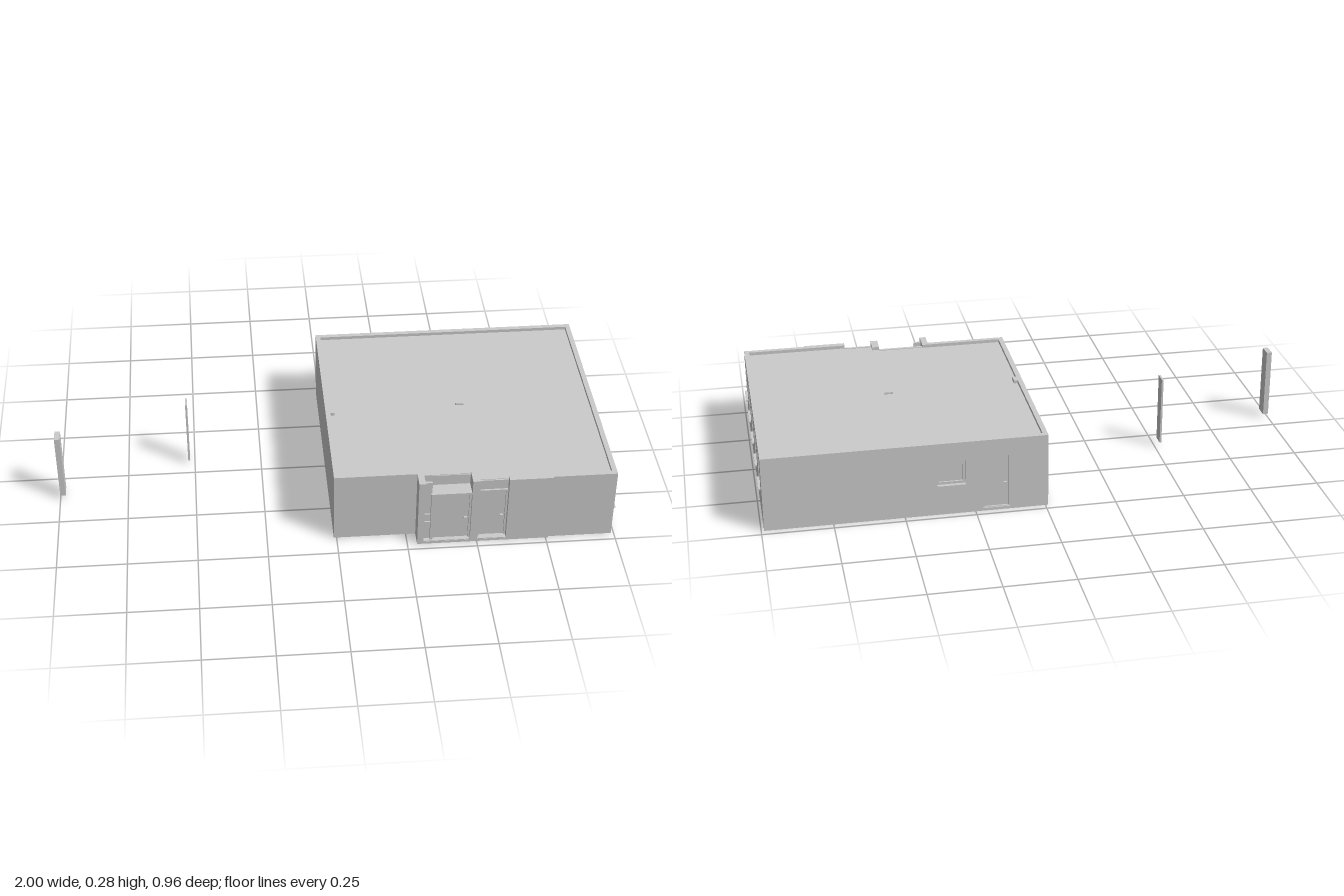
import * as THREE from 'three';

const material = new THREE.MeshStandardMaterial({ color: 0xcccccc, flatShading: true });
const H = 0.275; // wall height
const T = 0.018; // wall thickness

function add(parent, name, geometry) {
  const mesh = new THREE.Mesh(geometry, material);
  mesh.name = name;
  parent.add(mesh);
  return mesh;
}

// Box given by its lower and upper limits on each axis
function block(parent, name, x0, x1, y0, y1, z0, z1) {
  const mesh = add(parent, name, new THREE.BoxGeometry(x1 - x0, y1 - y0, z1 - z0));
  mesh.position.set((x0 + x1) / 2, (y0 + y1) / 2, (z0 + z1) / 2);
  return mesh;
}

function rect(Type, x0, x1, y0, y1) {
  const r = new Type();
  r.moveTo(x0, y0).lineTo(x1, y0).lineTo(x1, y1).lineTo(x0, y1).closePath();
  return r;
}

// Panel in the local xy plane with rectangular openings, extruded along z
function panel(parent, name, outer, openings, z, depth) {
  const shape = rect(THREE.Shape, ...outer);
  openings.forEach(o => shape.holes.push(rect(THREE.Path, ...o)));
  const mesh = add(parent, name, new THREE.ExtrudeGeometry(shape, { depth, bevelEnabled: false }));
  mesh.position.z = z;
  return mesh;
}

// Framed window, outer wall face at local z = 0
function windowUnit(parent, x0, x1, y0, y1) {
  const g = new THREE.Group();
  g.name = 'window';
  panel(g, 'windowFrame', [x0, x1, y0, y1], [[x0 + 0.008, x1 - 0.008, y0 + 0.009, y1 - 0.008]], -0.014, 0.008);
  block(g, 'windowPane', x0, x1, y0, y1, -0.016, -0.012);
  block(g, 'windowSill', x0, x1, y0 - 0.005, y0, -0.012, 0.008);
  parent.add(g);
}

// Door with leaf, frame and handle, outer wall face at local z = 0
function doorUnit(parent, x0, x1, y0, y1, z = 0) {
  const g = new THREE.Group();
  g.name = 'door';
  panel(g, 'doorFrame', [x0, x1, y0, y1], [[x0 + 0.007, x1 - 0.007, y0 + 0.002, y1 - 0.007]], -0.014, 0.009);
  block(g, 'doorLeaf', x0, x1, y0, y1, -0.017, -0.012);
  block(g, 'doorHandle', x1 - 0.024, x1 - 0.012, 0.1, 0.104, -0.012, -0.004);
  g.position.z = z;
  parent.add(g);
}

export function createModel() {
  const model = new THREE.Group();
  const building = new THREE.Group();
  building.name = 'building';
  model.add(building);

  // Floor and roof slabs following the stepped plan
  const slab = (name, pts, y, depth) => {
    const shape = new THREE.Shape(pts.map(([x, z]) => new THREE.Vector2(x, -z)));
    const mesh = add(building, name, new THREE.ExtrudeGeometry(shape, { depth, bevelEnabled: false }));
    mesh.rotation.x = -Math.PI / 2;
    mesh.position.y = y;
  };
  slab('floor', [[-0.01, 0.415], [0.285, 0.415], [0.285, 0.473], [0.76, 0.473],
    [0.76, 0.467], [0.99, 0.467], [0.99, -0.475], [-0.01, -0.475]], 0, 0.01);
  slab('roof', [[0, 0.405], [0.335, 0.405], [0.335, 0.415], [0.475, 0.415], [0.475, 0.455],
    [0.98, 0.455], [0.98, -0.465], [0, -0.465]], 0.25, 0.013);

  // Side wall with five windows; local x runs along -z
  const side = new THREE.Group();
  side.name = 'windowWall';
  side.rotation.y = Math.PI / 2;
  side.position.x = 0.99;
  const sideWindows = [0.408, 0.22, 0.036, -0.148, -0.334]
    .map(z => [-z - 0.048, -z + 0.048, 0.115, 0.23]);
  panel(side, 'wall', [-0.467, 0.475, 0, H], sideWindows, -T, T);
  sideWindows.forEach(w => windowUnit(side, ...w));
  building.add(side);

  // Back wall with one window and one door; local x runs along -x
  const back = new THREE.Group();
  back.name = 'backWall';
  back.rotation.y = Math.PI;
  back.position.z = -0.475;
  const backWindow = [-0.385, -0.285, 0.115, 0.23];
  const backDoor = [-0.225, -0.125, 0.01, 0.215];
  panel(back, 'wall', [-0.99, 0.01, 0, H], [backWindow, backDoor], -T, T);
  windowUnit(back, ...backWindow);
  doorUnit(back, ...backDoor);
  building.add(back);

  // Plain walls and front wall pieces
  block(building, 'plainSideWall', -0.01, -0.01 + T, 0, H, -0.475, 0.415);
  block(building, 'frontWall', -0.01, 0.303, 0, H, 0.415 - T, 0.415);
  block(building, 'returnWall', 0.285, 0.308, 0, H, 0.398, 0.473);
  block(building, 'entrancePier', 0.475, 0.502, 0, H, 0.41, 0.473);
  block(building, 'frontPanel', 0.605, 0.76, 0, H, 0.449, 0.473);
  block(building, 'frontWall', 0.76, 0.99, 0, H, 0.449, 0.467);

  // Entrance: narrow sidelight, door below an open ledge, second door with transom
  const entrance = new THREE.Group();
  entrance.name = 'entrance';
  block(entrance, 'sidelight', 0.308, 0.335, 0.01, 0.265, 0.446, 0.456);
  block(entrance, 'sidelightRail', 0.308, 0.335, 0.085, 0.091, 0.45, 0.461);
  block(entrance, 'sidelightRail', 0.308, 0.335, 0.117, 0.126, 0.45, 0.461);
  block(entrance, 'sidelightPost', 0.331, 0.339, 0.01, 0.22, 0.446, 0.467);
  block(entrance, 'ledge', 0.331, 0.475, 0.212, 0.22, 0.405, 0.467);
  block(entrance, 'recessBack', 0.303, 0.475, 0.21, 0.265, 0.4, 0.412);
  doorUnit(entrance, 0.335, 0.475, 0.01, 0.213, 0.467);
  doorUnit(entrance, 0.502, 0.605, 0.01, 0.22, 0.462);
  block(entrance, 'transom', 0.502, 0.605, 0.22, 0.265, 0.442, 0.45);
  block(entrance, 'threshold', 0.308, 0.605, 0, 0.012, 0.44, 0.472);
  building.add(entrance);

  // Small upstands on the roof
  block(building, 'roofUpstand', 0.475, 0.505, 0.26, 0.27, -0.006, 0.006);
  block(building, 'parapetPier', 0.005, 0.022, 0.26, H, 0, 0.035);

  // Two detached posts standing beside the building
  block(model, 'widePost', -1, -0.98, 0.015, H, 0.067, 0.117);
  block(model, 'thinPost', -0.525, -0.518, 0.015, H, -0.1, -0.055);
  return model;
}
